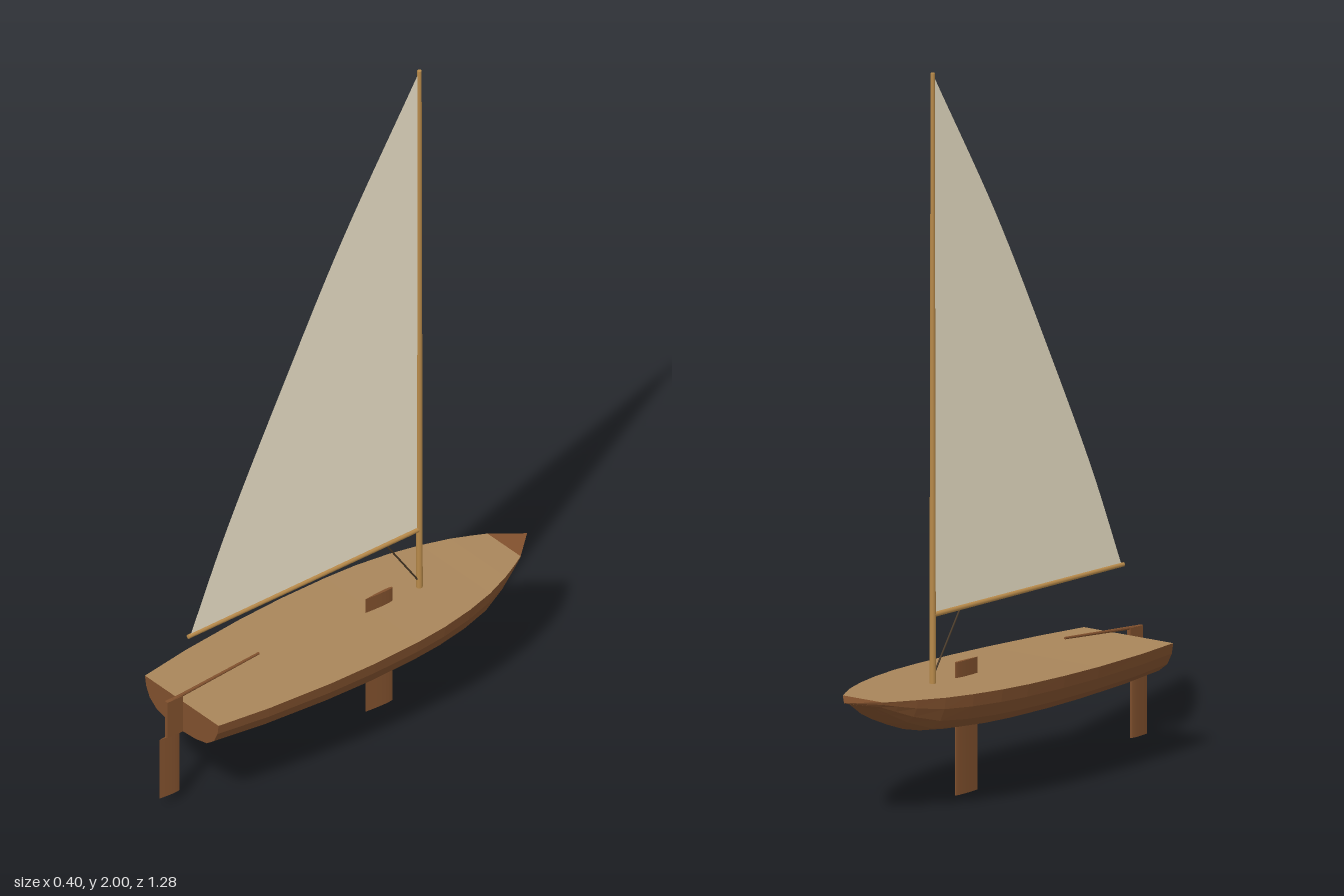
import * as THREE from 'three';

const material = (color, flatShading = false) =>
  new THREE.MeshStandardMaterial({ color, flatShading, side: THREE.DoubleSide });
const WOOD = material(0x80502d, true);
const DECK = material(0xa8855a, true);
const SPAR = material(0xb88a4a);
const CLOTH = material(0xf0e6cc);
const ROPE = material(0x4a3a28);

// Skin through rows of points, every row having the same count
function loft(rows) {
  const n = rows[0].length, index = [];
  for (let i = 0; i < rows.length - 1; i++) {
    for (let j = 0; j < n - 1; j++) {
      const a = i * n + j, c = a + n;
      index.push(a, a + 1, c, a + 1, c + 1, c);
    }
  }
  const g = new THREE.BufferGeometry();
  g.setAttribute('position', new THREE.Float32BufferAttribute(rows.flat(2), 3));
  g.setIndex(index);
  g.computeVertexNormals();
  return g;
}

// Tapered round bar between two points
function bar(from, to, r0, r1, sides = 10) {
  const a = new THREE.Vector3(...from), d = new THREE.Vector3(...to).sub(a);
  const g = new THREE.CylinderGeometry(r1, r0, d.length(), sides);
  g.translate(0, d.length() / 2, 0);
  g.applyQuaternion(new THREE.Quaternion().setFromUnitVectors(
    new THREE.Vector3(0, 1, 0), d.clone().normalize()));
  return g.translate(a.x, a.y, a.z);
}

// Upright foil: rounded leading edge toward the bow, sharp trailing edge
function foil(zFront, zBack, y0, y1, thick) {
  const c = zBack - zFront, t = thick / 2;
  const s = new THREE.Shape();
  s.moveTo(0, -zFront);
  s.bezierCurveTo(t * 1.2, -zFront, t * 1.2, -zFront - c * 0.4, 0, -zBack);
  s.bezierCurveTo(-t * 1.2, -zFront - c * 0.4, -t * 1.2, -zFront, 0, -zFront);
  const g = new THREE.ExtrudeGeometry(s, { depth: y1 - y0, bevelEnabled: false, curveSegments: 8 });
  return g.rotateX(-Math.PI / 2).translate(0, y0, 0);
}

export function createModel() {
  const boat = new THREE.Group();
  const add = (name, geometry, mat) => {
    const m = new THREE.Mesh(geometry, mat);
    m.name = name;
    boat.add(m);
  };

  // Hull stations, stern to bow: z, half width, sheer height, keel height
  const stations = [
    [0.56, 0.155, 0.314, 0.217], [0.4, 0.178, 0.315, 0.21], [0.2, 0.195, 0.317, 0.205],
    [0.05, 0.2, 0.319, 0.203], [-0.1, 0.197, 0.321, 0.203], [-0.2, 0.189, 0.323, 0.205],
    [-0.3, 0.172, 0.325, 0.21], [-0.39, 0.148, 0.327, 0.22], [-0.47, 0.117, 0.33, 0.252],
    [-0.52, 0.092, 0.331, 0.283], [-0.56, 0.07, 0.332, 0.309], [-0.64, 0, 0.335, 0.334],
  ];
  // Half section: share of the half width, share of the depth
  const half = [[1, 0], [0.97, 0.3], [0.87, 0.62], [0.68, 0.85], [0.38, 0.96], [0, 1]];
  const section = [...half, ...half.slice(0, -1).reverse().map(([x, d]) => [-x, d])];
  const hullRows = stations.map(([z, w, top, keel]) =>
    section.map(([x, d]) => [x * w, top + (keel - top) * d, z]));
  add('hull', loft(hullRows), WOOD);

  // Transom closes the stern
  const stern = hullRows[0];
  add('transom', loft(half.map((_, i) => [stern[i], stern[stern.length - 1 - i]])), WOOD);

  // Deck, with a darker triangular cap at the bow
  const deckRows = stations.map(([z, w, top]) => [[-w, top, z], [w, top, z]]);
  add('deck', loft(deckRows.slice(0, -1)), DECK);
  add('bowCap', loft(deckRows.slice(-2)), WOOD);

  // Spars
  add('mast', bar([0, 0.315, -0.266], [0, 2, -0.266], 0.009, 0.006), SPAR);
  add('boom', bar([0, 0.512, -0.266], [0, 0.512, 0.538], 0.007, 0.006), SPAR);

  // Mainsail with a bowed trailing edge
  const leech = new THREE.CatmullRomCurve3([
    [1.985, -0.258], [1.57, 0], [1.2, 0.2], [0.8, 0.404], [0.518, 0.528],
  ].map(([y, z]) => new THREE.Vector3(0, y, z)));
  add('sail', loft(leech.getPoints(28).map((p) => [[0, p.y, -0.26], [0, p.y, p.z]])), CLOTH);

  // Line holding the boom down to the mast foot
  add('vang', bar([0, 0.51, -0.15], [0, 0.35, -0.26], 0.0025, 0.0025, 6), ROPE);

  // Centreboard through the deck
  add('centreboard', foil(-0.172, -0.078, 0, 0.365, 0.01), WOOD);

  // Rudder and tiller
  const head = new THREE.BoxGeometry(0.012, 0.115, 0.053);
  add('rudderHead', head.translate(0, 0.276, 0.5875), WOOD);
  add('rudderBlade', foil(0.568, 0.637, 0.03, 0.22, 0.01), WOOD);
  add('tiller', bar([0, 0.331, 0.59], [0, 0.352, 0.292], 0.005, 0.0035, 8), WOOD);

  return boat;
}
